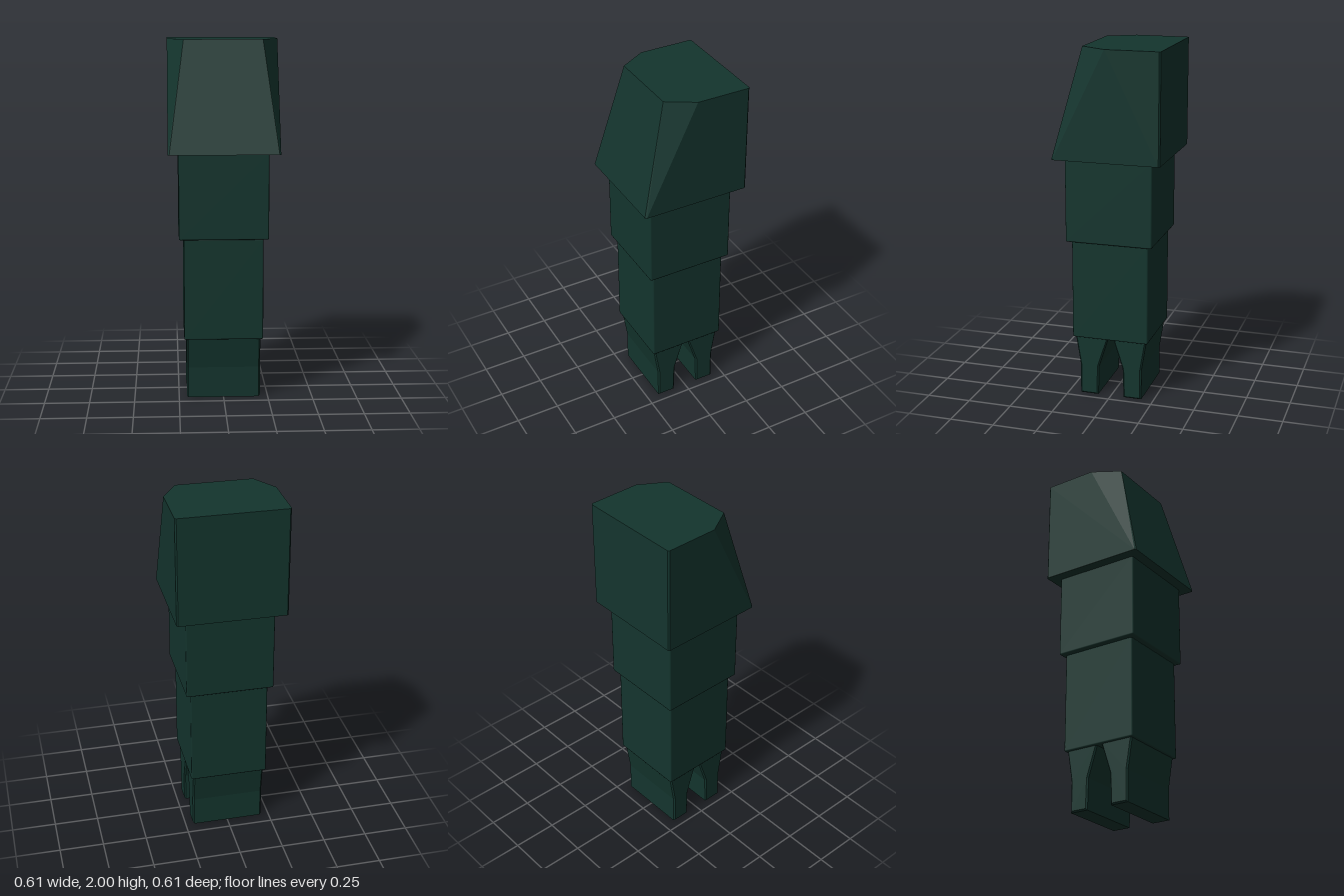
import * as THREE from 'three';
import { RoundedBoxGeometry } from 'three/addons/geometries/RoundedBoxGeometry.js';
import { ConvexGeometry } from 'three/addons/geometries/ConvexGeometry.js';

const BEVEL = 0.008;

export function createModel() {
  const model = new THREE.Group();
  model.name = 'blockTower';
  const material = new THREE.MeshStandardMaterial({ color: 0x14352e });

  const add = (name, geometry) => {
    const mesh = new THREE.Mesh(geometry, material);
    mesh.name = name;
    model.add(mesh);
    return mesh;
  };

  // Stacked square sections of the shaft
  const block = (name, width, bottom, top) => {
    const geometry = new RoundedBoxGeometry(width, top - bottom, width, 1, BEVEL);
    add(name, geometry).position.y = (bottom + top) / 2;
  };
  block('lowerShaft', 0.44, 0.345, 0.915);
  block('upperShaft', 0.494, 0.915, 1.395);

  // Head: square base, sloped front and cut front corners
  const w = 0.305, b = BEVEL;
  const points = [];
  for (const s of [-1, 1]) {
    // Bottom outline
    points.push(
      new THREE.Vector3(s * w, 1.39, w - b), new THREE.Vector3(s * (w - b), 1.39, w),
      new THREE.Vector3(s * w, 1.39, b - w), new THREE.Vector3(s * (w - b), 1.39, -w));
    // Top outline
    points.push(
      new THREE.Vector3(s * w, 2, b - w), new THREE.Vector3(s * (w - b), 2, -w),
      new THREE.Vector3(s * w, 2, 0), new THREE.Vector3(s * 0.215, 2, 0.15));
  }
  add('head', new ConvexGeometry(points));

  // Two prongs, wide at the top and narrow at the foot
  const prong = new THREE.Shape([
    [0.075 + b, b], [0.18 - b, b], [0.18 - b, 0.175],
    [0.21 - b, 0.36], [0.01 + b, 0.36], [0.07 + b, 0.175],
  ].map(([z, y]) => new THREE.Vector2(z, y)));
  const length = 0.412;
  for (const [name, turn] of [['frontProng', -1], ['backProng', 1]]) {
    const geometry = new THREE.ExtrudeGeometry(prong, {
      depth: length - 2 * b, bevelEnabled: true, bevelSize: b, bevelThickness: b, bevelSegments: 1,
    });
    geometry.translate(0, 0, -length / 2 + b);
    geometry.rotateY(turn * Math.PI / 2);
    add(name, geometry);
  }

  return model;
}
